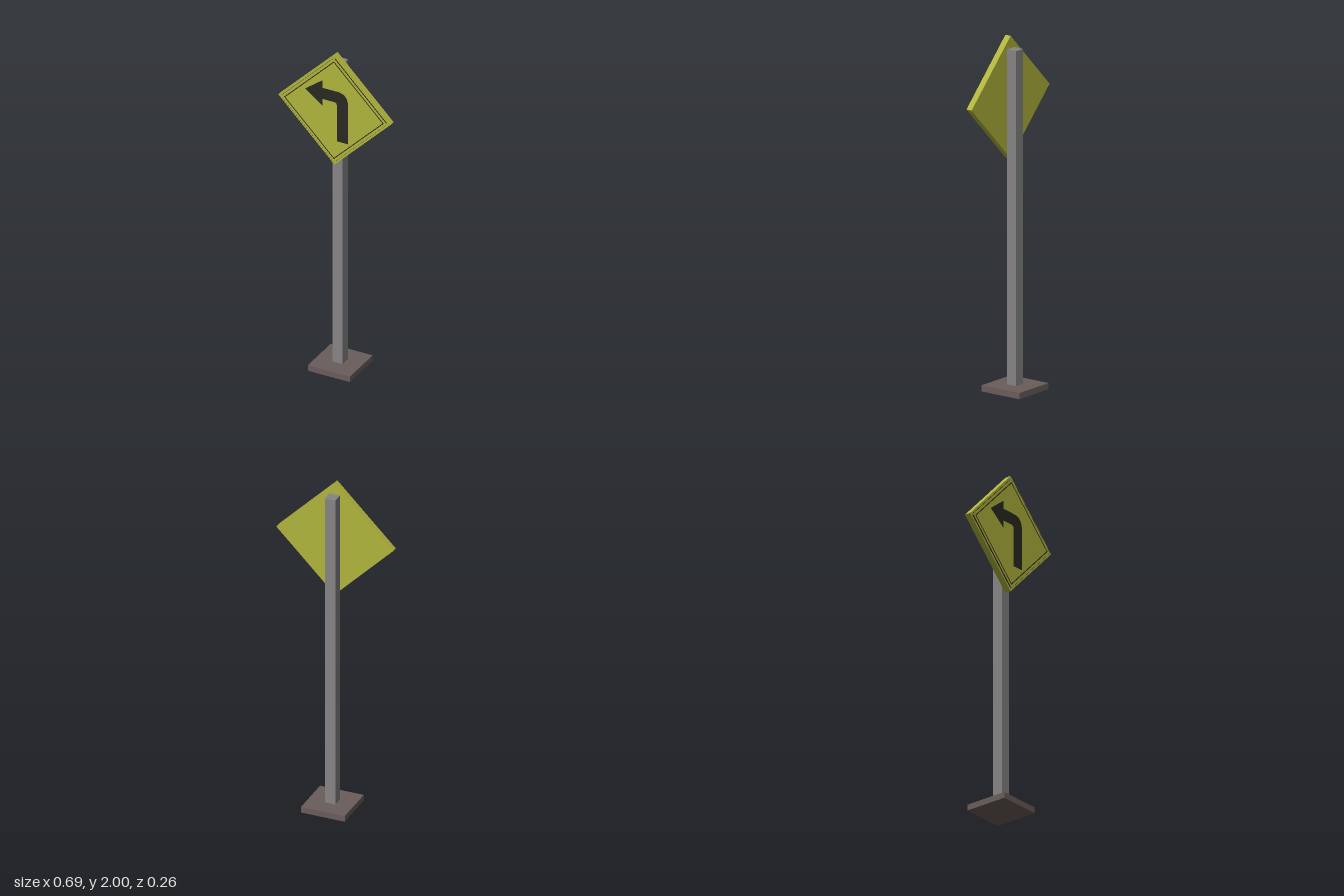
import * as THREE from 'three';

export function createModel() {
  const root = new THREE.Group();
  const mat = (name, color) => {
    const m = new THREE.MeshStandardMaterial({ color });
    m.name = name;
    return m;
  };
  const yellow = mat('sign yellow', 0xb0b43c);
  const dark = mat('marking black', 0x2a2a22);
  const grey = mat('post grey', 0x868485);
  const brown = mat('base brown', 0x6a5d5b);

  const add = (parent, name, geometry, material, x, y, z) => {
    const mesh = new THREE.Mesh(geometry, material);
    mesh.name = name;
    mesh.position.set(x, y, z);
    parent.add(mesh);
    return mesh;
  };
  const box = (parent, name, w, h, d, material, x, y, z) =>
    add(parent, name, new THREE.BoxGeometry(w, h, d), material, x, y, z);

  // Foot plate and square post
  box(root, 'base', 0.26, 0.035, 0.26, brown, 0, 0.0175, 0);
  box(root, 'post', 0.062, 1.895, 0.062, grey, 0, 0.9825, 0);

  // Diamond board: squares turned by 45 degrees
  const sign = new THREE.Group();
  sign.name = 'sign';
  sign.position.set(0, 1.653, 0);
  root.add(sign);
  const diamond = new THREE.Group();
  diamond.name = 'diamondBoard';
  diamond.rotation.z = Math.PI / 4;
  sign.add(diamond);
  const side = 0.347 * Math.SQRT2, faceSide = 0.329 * Math.SQRT2;
  box(diamond, 'board', side, side, 0.036, yellow, 0, 0, 0.049);
  box(diamond, 'facePlate', faceSide, faceSide, 0.007, yellow, 0, 0, 0.0695);

  // Dark rim on the face plate's edges and a fine border line near it
  for (let i = 0; i < 4; i++) {
    const edge = new THREE.Group();
    edge.name = 'border';
    edge.rotation.z = i * Math.PI / 2;
    diamond.add(edge);
    box(edge, 'edgeStrip', faceSide - 0.012, 0.001, 0.006, dark, 0, faceSide / 2 + 0.0005, 0.07);
    box(edge, 'borderLine', 0.436, 0.005, 0.001, dark, 0, 0.2155, 0.0733);
  }

  // Left-turn arrow
  const outline = [
    [0.02, 1.463], [0.088, 1.463], [0.088, 1.715], [0.08, 1.745], [0.064, 1.765], [0.035, 1.775],
    [-0.07, 1.775], [-0.07, 1.823], [-0.176, 1.743], [-0.07, 1.664], [-0.07, 1.706],
    [0.004, 1.706], [0.016, 1.701], [0.02, 1.69],
  ].map(([x, y]) => new THREE.Vector2(x, y - 1.653));
  const arrow = new THREE.ExtrudeGeometry(new THREE.Shape(outline), { depth: 0.004, bevelEnabled: false });
  add(sign, 'arrow', arrow, dark, 0, 0, 0.071);

  return root;
}
